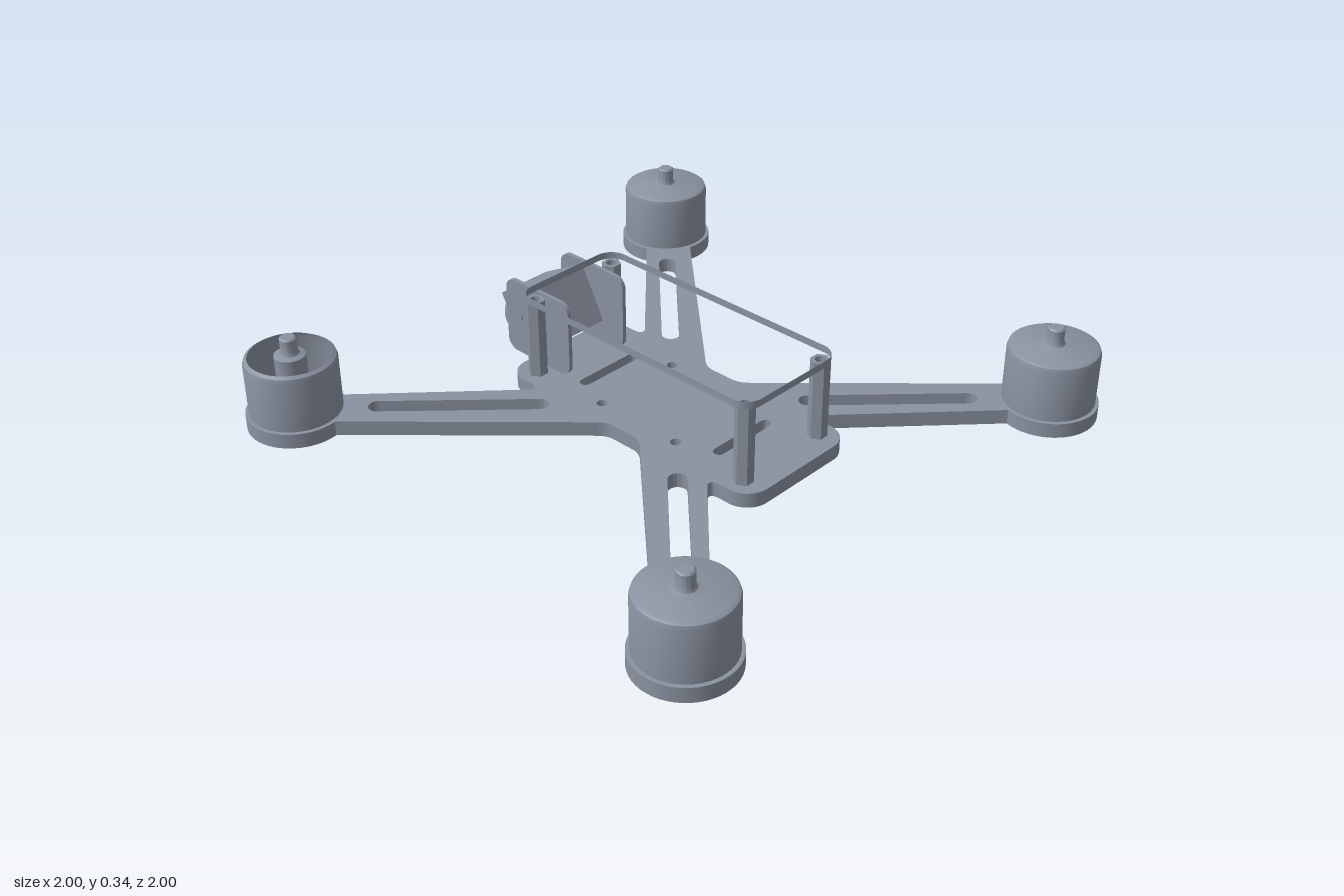
import * as THREE from 'three';
import { toCreasedNormals } from 'three/addons/utils/BufferGeometryUtils.js';

const V = (x, y) => new THREE.Vector2(x, y);
const SIGNS = [[1, 1], [-1, 1], [-1, -1], [1, -1]];

export function createModel() {
  const model = new THREE.Group();
  const grey = new THREE.MeshStandardMaterial({ color: 0x8a92a0, side: THREE.DoubleSide });
  grey.name = 'slate grey';

  const add = (name, geo, parent = model) => {
    const mesh = new THREE.Mesh(toCreasedNormals(geo, 0.6), grey);
    mesh.name = name;
    parent.add(mesh);
    return mesh;
  };
  const circle = (x, y, r) => new THREE.Path().absarc(x, y, r, 0, Math.PI * 2, true);
  // Round-ended slot between two points
  const slot = (x1, y1, x2, y2, r) => {
    const a = Math.atan2(y2 - y1, x2 - x1);
    return new THREE.Path()
      .absarc(x2, y2, r, a - Math.PI / 2, a + Math.PI / 2)
      .absarc(x1, y1, r, a + Math.PI / 2, a + Math.PI * 1.5).closePath();
  };
  const roundedRect = (x0, y0, x1, y1, r) => new THREE.Shape()
    .absarc(x1 - r, y1 - r, r, 0, Math.PI / 2)
    .absarc(x0 + r, y1 - r, r, Math.PI / 2, Math.PI)
    .absarc(x0 + r, y0 + r, r, Math.PI, Math.PI * 1.5)
    .absarc(x1 - r, y0 + r, r, Math.PI * 1.5, Math.PI * 2).closePath();
  const extrude = (shape, depth) =>
    new THREE.ExtrudeGeometry(shape, { depth, bevelEnabled: false, curveSegments: 20 });
  // Lays a shape flat (shape y becomes z) with its top at the given height
  const slab = (shape, depth, top) => extrude(shape, depth).rotateX(Math.PI / 2).translate(0, top, 0);

  // Base plate: one quarter outline, mirrored into four arms
  const M = 0.84;
  const quarter = new THREE.Path();
  quarter.moveTo(0.228, 0.04);
  quarter.quadraticCurveTo(0.228, 0.07, 0.25, 0.094);
  quarter.lineTo(0.81, 0.69);
  quarter.absarc(M, M, 0.158, -1.77, 3.45);
  quarter.lineTo(0.262, 0.385);
  quarter.quadraticCurveTo(0.235, 0.37, 0.235, 0.41);
  quarter.absarc(0.155, 0.445, 0.08, 0, Math.PI / 2);
  const q = quarter.getPoints(20);
  const outline = SIGNS.flatMap(([sx, sz]) => {
    const part = q.map(p => V(p.x * sx, p.y * sz));
    return sx * sz > 0 ? part : part.reverse();
  });
  const plate = new THREE.Shape(outline);
  for (const [sx, sz] of SIGNS) {
    plate.holes.push(
      slot(0.3 * sx, 0.3 * sz, 0.66 * sx, 0.66 * sz, 0.03),
      circle(0.16 * sx, 0.16 * sz, 0.018),
      circle(0.17 * sx, 0.445 * sz, 0.018),
      circle(M * sx, M * sz, 0.045));
    for (let i = 0; i < 4; i++) {
      const a = i * Math.PI / 2;
      plate.holes.push(circle(M * sx + 0.1 * Math.cos(a), M * sz + 0.1 * Math.sin(a), 0.016));
    }
  }
  for (const s of [1, -1]) plate.holes.push(slot(-0.107, 0.29 * s, 0.107, 0.29 * s, 0.019));
  add('basePlate', slab(plate, 0.05, 0.05));

  // Motors; the back right one has an open top
  const capProfile = [V(0.05, 0.245), V(0.032, 0.251), V(0.027, 0.262), V(0.027, 0.303), V(0.022, 0.308), V(0, 0.308)];
  const bell = [V(0, 0.052), V(0.147, 0.052), V(0.147, 0.225), V(0.143, 0.238), V(0.132, 0.245)];
  for (const [sx, sz] of SIGNS) {
    const motor = new THREE.Group();
    motor.name = 'motor';
    motor.position.set(M * sx, 0, M * sz);
    model.add(motor);
    if (sx < 0 && sz < 0) {
      add('openMotorBell', new THREE.LatheGeometry(bell, 48), motor);
      add('motorHub', new THREE.LatheGeometry([V(0.05, 0.055), ...capProfile], 32), motor);
    } else {
      add('motorBell', new THREE.LatheGeometry([...bell, ...capProfile], 48), motor);
    }
  }

  // Hollow hexagonal standoffs
  const hex = new THREE.Shape(Array.from({ length: 6 }, (_, i) =>
    V(0.032 * Math.cos(i * Math.PI / 3), 0.032 * Math.sin(i * Math.PI / 3))));
  hex.holes.push(circle(0, 0, 0.018));
  for (const [sx, sz] of SIGNS) {
    add('standoff', slab(hex, 0.27, 0.32)).position.set(0.17 * sx, 0, 0.445 * sz);
  }

  // Upper frame: a thin open band with rounded corners
  const loop = roundedRect(-0.207, -0.483, 0.207, 0.487, 0.06).getPoints(10);
  const pos = [], index = [];
  loop.forEach((p, i) => {
    pos.push(p.x, 0.32, p.y, p.x, 0.344, p.y);
    if (i < loop.length - 1) {
      const a = i * 2;
      index.push(a, a + 1, a + 2, a + 1, a + 3, a + 2);
    }
  });
  const band = new THREE.BufferGeometry();
  band.setAttribute('position', new THREE.Float32BufferAttribute(pos, 3));
  band.setIndex(index);
  add('upperFrameBand', band);

  // Camera side brackets
  for (const s of [1, -1]) {
    const bracket = roundedRect(-0.63, 0.055, -0.34, 0.318, 0.04);
    bracket.holes.push(circle(-0.55, 0.185, 0.012));
    add('cameraBracket', extrude(bracket, 0.014).rotateY(-Math.PI / 2).translate(0.122 * s + 0.007, 0, 0));
  }

  // Camera tilted nose down towards the back
  const camera = new THREE.Group();
  camera.name = 'camera';
  camera.position.set(0, 0.182, -0.553);
  camera.rotation.x = -28 * Math.PI / 180;
  model.add(camera);
  add('cameraBody', new THREE.BoxGeometry(0.2, 0.2, 0.2), camera);
  const lens = [V(0.072, 0), V(0.072, 0.07), V(0.067, 0.08), V(0.058, 0.085), V(0, 0.085)];
  add('cameraLens', new THREE.LatheGeometry(lens, 40).rotateX(-Math.PI / 2).translate(0, 0, -0.1), camera);
  add('cameraPivot', new THREE.CylinderGeometry(0.01, 0.01, 0.25, 16).rotateZ(Math.PI / 2), camera);

  return model;
}
